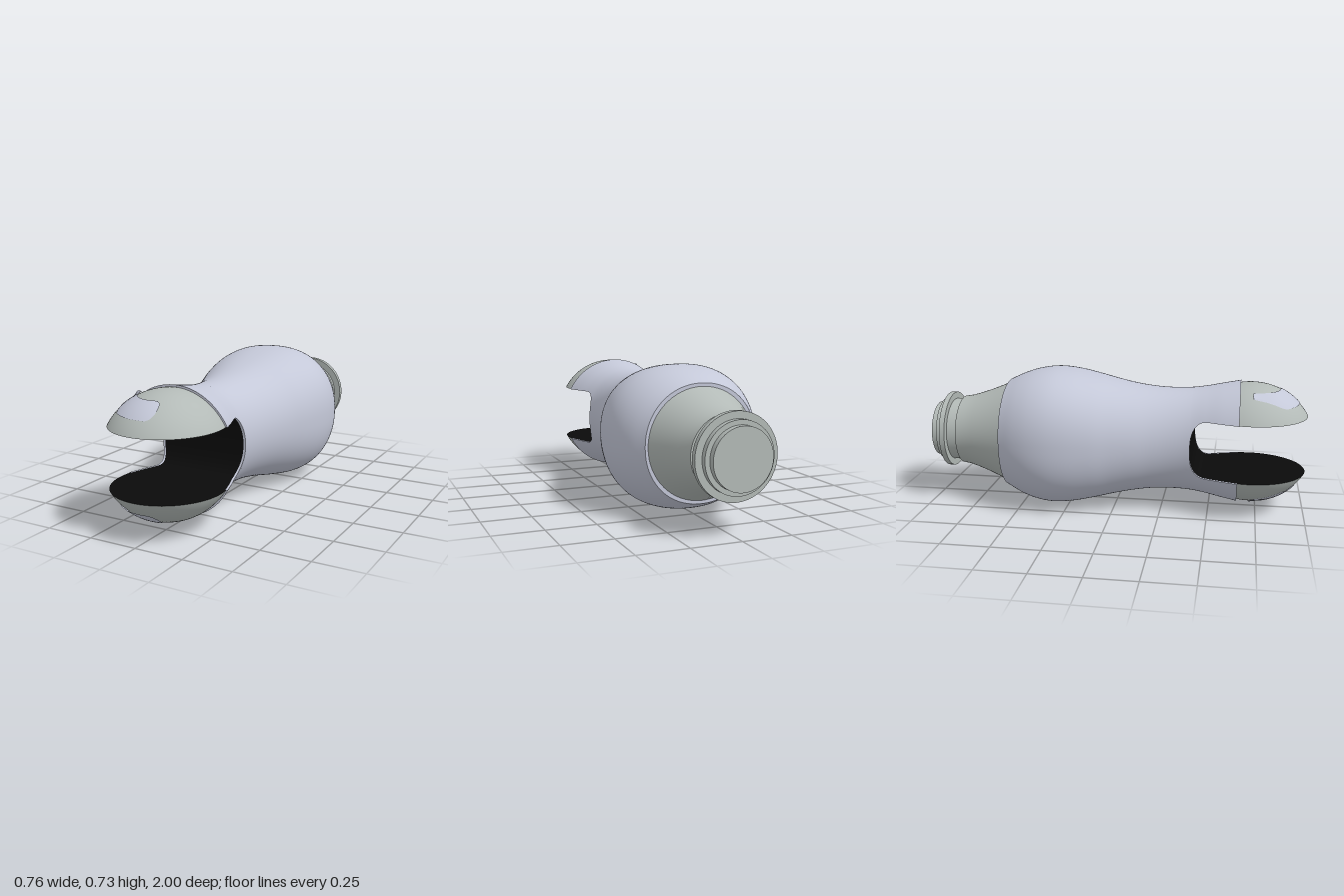
import * as THREE from 'three';
import { mergeVertices, toCreasedNormals } from 'three/addons/utils/BufferGeometryUtils.js';

const CY = 0.365;          // height of the long axis
const SLOT = 0.15;         // half height of the mouth slot
const SLOT_END = 0.405;    // where the slot stops
const BODY_BACK = -0.585, BODY_FRONT = 0.65;

// Body profile: z, half width, half height
const profile = new THREE.CatmullRomCurve3([
  [-0.585, 0.29, 0.292], [-0.5, 0.338, 0.33], [-0.42, 0.367, 0.353], [-0.33, 0.38, 0.363],
  [-0.23, 0.374, 0.355], [-0.1, 0.345, 0.33], [0, 0.311, 0.308], [0.1, 0.28, 0.289],
  [0.2, 0.252, 0.277], [0.3, 0.238, 0.273], [0.4, 0.241, 0.277], [0.48, 0.262, 0.288],
  [0.56, 0.29, 0.304], [0.65, 0.317, 0.321],
].map(([z, a, b]) => new THREE.Vector3(z, a, b)));

function bodySection(z) {
  let lo = 0, hi = 1;
  for (let i = 0; i < 30; i++) {
    const mid = (lo + hi) / 2;
    if (profile.getPoint(mid).x < z) lo = mid; else hi = mid;
  }
  const p = profile.getPoint(lo);
  const n = 2 + 0.32 * Math.exp(-(((z + 0.25) / 0.3) ** 2));
  return { z, a: p.y, b: p.z, n, s: slotHalf(z) };
}

// Slot half height along z, with rounded inner corners
function slotHalf(z) {
  if (z <= SLOT_END) return 0;
  if (z >= 0.5) return SLOT;
  return SLOT * (1 - ((0.5 - z) / (0.5 - SLOT_END)) ** 2.6) ** (1 / 2.6);
}

// Jaw section: slice of a near-sphere
const JAW = { z: 0.71, r: 0.315, c: 0.33 };
const JAW_TIP = JAW.z + JAW.c * Math.sqrt(1 - (SLOT / JAW.r) ** 2);
function jawSection(z) {
  const r = Math.max(JAW.r * Math.sqrt(1 - ((z - JAW.z) / JAW.c) ** 2), SLOT);
  return { z, a: r, b: r, n: 2, s: SLOT };
}

const startAngle = (q) => Math.asin(Math.min(1, (q.s / q.b) ** (q.n / 2)));
const edgeX = (q) => q.a * Math.cos(startAngle(q)) ** (2 / q.n);

function build(pos, idx) {
  let g = new THREE.BufferGeometry();
  g.setAttribute('position', new THREE.Float32BufferAttribute(pos, 3));
  g.setIndex(idx);
  g = mergeVertices(g, 1e-5);
  g.computeVertexNormals();
  return g;
}

// Skin over sections, upper and lower halves, leaving the slot open
function loft(sections, halves = [1, -1], seg = 64) {
  const pos = [], idx = [];
  for (const side of halves) {
    const base = pos.length / 3;
    sections.forEach((q, i) => {
      const f0 = startAngle(q);
      for (let j = 0; j <= seg; j++) {
        const f = f0 + (Math.PI - 2 * f0) * j / seg;
        const c = Math.cos(f), e = 2 / q.n;
        const y = q.b * Math.max(0, Math.sin(f)) ** e;
        pos.push(Math.sign(c) * q.a * Math.abs(c) ** e, CY + side * y, q.z);
        if (i && j) {
          const d = base + i * (seg + 1) + j, c1 = d - 1, b = d - seg - 1, a = b - 1;
          if (side > 0) idx.push(a, b, c1, b, d, c1);
          else idx.push(a, c1, b, b, c1, d);
        }
      }
    });
  }
  return build(pos, idx);
}

// Strip along the slot surface between two x positions per section
function slotStrip(sections, x0, x1, side) {
  const pos = [], idx = [];
  sections.forEach((q, i) => {
    pos.push(x0(q), CY + side * q.s, q.z, x1(q), CY + side * q.s, q.z);
    if (i) { const k = 2 * i; idx.push(k - 2, k - 1, k, k - 1, k + 1, k); }
  });
  return build(pos, idx);
}

export function createModel() {
  const shell = new THREE.MeshStandardMaterial({ color: 0xc4c8d8 });
  shell.name = 'pale lavender';
  shell.side = THREE.DoubleSide;
  const grey = new THREE.MeshStandardMaterial({ color: 0xb3bab7 });
  grey.name = 'warm grey';
  const black = new THREE.MeshStandardMaterial({ color: 0x0a0a0a });
  black.name = 'black';
  black.side = THREE.DoubleSide;

  const model = new THREE.Group();
  const add = (name, geo, mat) => {
    const m = new THREE.Mesh(geo, mat);
    m.name = name;
    model.add(m);
    return m;
  };

  // Body shell, with closely spaced sections at the slot corner
  const rear = [], front = [], jaw = [];
  for (let i = 0; i <= 60; i++) rear.push(bodySection(BODY_BACK + (SLOT_END - BODY_BACK) * i / 60));
  for (let i = 0; i <= 24; i++) front.push(bodySection(SLOT_END + (0.5 - SLOT_END) * (i / 24) ** 2.5));
  for (let i = 1; i <= 12; i++) front.push(bodySection(0.5 + (BODY_FRONT - 0.5) * i / 12));
  add('body', loft([...rear, ...front.slice(1)]), shell);

  // Rounded jaws
  for (let i = 0; i <= 32; i++) {
    jaw.push(jawSection(BODY_FRONT + (JAW_TIP - BODY_FRONT) * Math.sin(i / 32 * Math.PI / 2)));
  }
  add('upperJaw', loft(jaw, [1]), grey);
  add('lowerJaw', loft(jaw, [-1]), grey);

  // Thin steps where the body meets the jaws and the collar
  const last = front[front.length - 1];
  add('frontLip', loft([last, jaw[0]]), shell);
  add('rearLip', loft([{ ...rear[0], a: 0.265, b: 0.265 }, rear[0]]), shell);

  // Black slot lining with a shell-coloured rim on the body
  const rim = (q) => edgeX(q) - 0.012;
  for (const side of [1, -1]) {
    add('slotLining', slotStrip(front, (q) => -rim(q), rim, side), black);
    add('jawLining', slotStrip(jaw, (q) => -edgeX(q), edgeX, side), black);
    for (const x of [1, -1]) {
      add('slotRim', slotStrip(front, (q) => x * rim(q), (q) => x * edgeX(q), side), shell);
    }
  }

  // Pale rounded patches on the jaws
  for (const side of [1, -1]) {
    const pos = [], idx = [], rows = 10, cols = 24;
    for (let i = 0; i <= rows; i++) {
      const v = 2 * i / rows - 1, dy = 0.25 + 0.035 * v;
      const round = 0.03 * (1 - Math.sqrt(1 - v * v));
      for (let j = 0; j <= cols; j++) {
        const x = THREE.MathUtils.lerp(-0.18 + round * 0.5, 0.068 - round, j / cols);
        const z = JAW.z + JAW.c * Math.sqrt(Math.max(0, 1 - (x * x + dy * dy) / JAW.r ** 2));
        pos.push(x, CY + side * (dy + 0.003), z + 0.003);
        if (i && j) {
          const d = i * (cols + 1) + j, c = d - 1, b = d - cols - 1, a = b - 1;
          if (side > 0) idx.push(a, b, c, b, d, c);
          else idx.push(a, c, b, b, c, d);
        }
      }
    }
    add('jawPatch', build(pos, idx), shell);
  }

  // Round parts at the back, turned about the long axis
  const turned = (name, pts) => {
    const g = new THREE.LatheGeometry(pts.map(([r, z]) => new THREE.Vector2(r, z)), 64);
    g.rotateX(Math.PI / 2);
    add(name, toCreasedNormals(g, 0.6), grey).position.y = CY;
  };
  turned('collar', [[0.15, -0.855], [0.185, -0.855], [0.192, -0.81], [0.207, -0.76],
    [0.228, -0.7], [0.252, -0.64], [0.278, -0.58]]);
  turned('neck', [[0, -1], [0.147, -1], [0.147, -0.967], [0.17, -0.967], [0.17, -0.938],
    [0.204, -0.938], [0.204, -0.91], [0.168, -0.91], [0.168, -0.85]]);

  return model;
}
